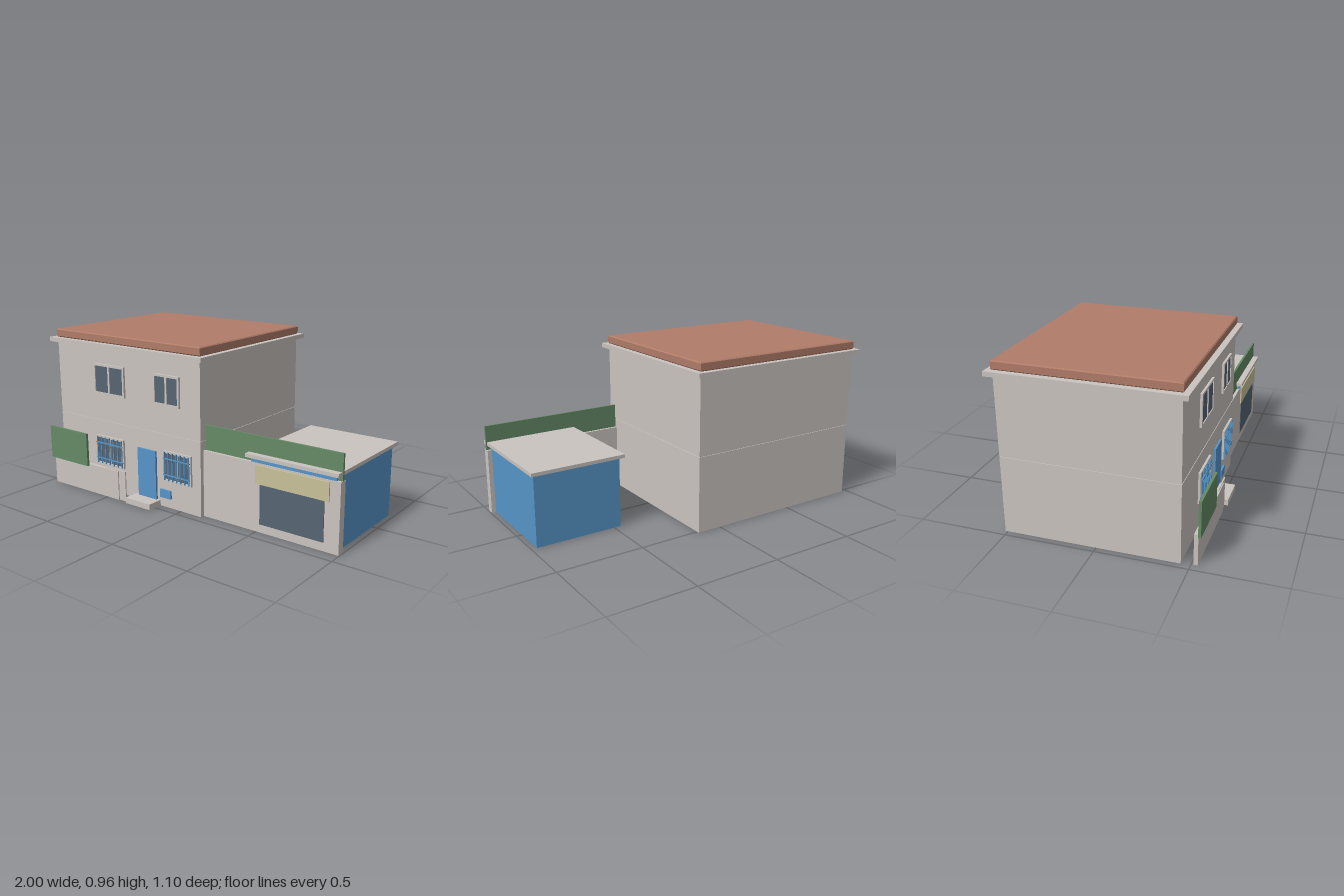
import * as THREE from 'three';

const mat = (name, color) => {
  const m = new THREE.MeshStandardMaterial({ color });
  m.name = name;
  return m;
};

export function createModel() {
  const model = new THREE.Group();
  model.name = 'house';
  const plaster = mat('plaster', 0xcac4bf);
  const terracotta = mat('terracotta', 0xb07c68);
  const blue = mat('bluePaint', 0x5595c8);
  const green = mat('greenPanel', 0x658a66);
  const glass = mat('darkGlass', 0x566573);
  const khaki = mat('awningCloth', 0xc9c199);

  // Box given by its minimum and maximum on each axis
  function box(name, material, x0, x1, y0, y1, z0, z1, parent = model) {
    const mesh = new THREE.Mesh(new THREE.BoxGeometry(x1 - x0, y1 - y0, z1 - z0), material);
    mesh.name = name;
    mesh.position.set((x0 + x1) / 2, (y0 + y1) / 2, (z0 + z1) / 2);
    parent.add(mesh);
    return mesh;
  }

  // Main block: two floors with a narrow groove between, eaves slab and roof
  box('groundFloor', plaster, -0.965, 0.145, 0, 0.438, -0.515, 0.45);
  box('floorGroove', plaster, -0.961, 0.141, 0.438, 0.444, -0.511, 0.446);
  box('upperFloor', plaster, -0.965, 0.145, 0.444, 0.884, -0.515, 0.45);
  box('eavesSlab', plaster, -1, 0.178, 0.884, 0.91, -0.55, 0.485);

  // Roof with a slightly bevelled top edge
  const b = 0.006;
  const outline = new THREE.Shape();
  outline.moveTo(-0.97 + b, -0.455 + b);
  outline.lineTo(0.15 - b, -0.455 + b);
  outline.lineTo(0.15 - b, 0.522 - b);
  outline.lineTo(-0.97 + b, 0.522 - b);
  outline.closePath();
  const roofGeo = new THREE.ExtrudeGeometry(outline, {
    depth: 0.05 - 2 * b, bevelSize: b, bevelThickness: b, bevelSegments: 1,
  });
  roofGeo.rotateX(-Math.PI / 2);
  const roof = new THREE.Mesh(roofGeo, terracotta);
  roof.name = 'roof';
  roof.position.y = 0.91 + b;
  model.add(roof);

  // Framed two-pane window, optionally with a security grille
  function makeWindow(name, x0, x1, y0, y1, grille) {
    const g = new THREE.Group();
    g.name = name;
    const t = 0.013, mid = (x0 + x1) / 2, zf = 0.463;
    const frame = new THREE.Shape();
    const rect = (p, a, c, d, e) => {
      p.moveTo(a, d); p.lineTo(c, d); p.lineTo(c, e); p.lineTo(a, e); p.closePath();
      return p;
    };
    rect(frame, x0, x1, y0, y1);
    frame.holes.push(rect(new THREE.Path(), x0 + t, mid - t / 2, y0 + t, y1 - t));
    frame.holes.push(rect(new THREE.Path(), mid + t / 2, x1 - t, y0 + t, y1 - t));
    const mesh = new THREE.Mesh(
      new THREE.ExtrudeGeometry(frame, { depth: zf - 0.45, bevelEnabled: false }), plaster);
    mesh.name = 'windowFrame';
    mesh.position.z = 0.45;
    g.add(mesh);
    box('windowPane', glass, x0 + t, x1 - t, y0 + t, y1 - t, 0.45, 0.458, g);
    if (grille) {
      const n = 7, w = 0.003;
      for (let i = 0; i < n; i++) {
        const x = THREE.MathUtils.lerp(x0 + t, x1 - t, i / (n - 1));
        box('grilleBar', blue, x - w, x + w, y0 + 0.006, y1 - 0.006, zf, 0.469, g);
      }
      for (const f of [0.22, 0.76]) {
        const y = THREE.MathUtils.lerp(y0, y1, f);
        box('grilleRail', blue, x0 + 0.004, x1 - 0.004, y - w, y + w, 0.464, 0.471, g);
      }
    }
    model.add(g);
  }
  makeWindow('upperRightWindow', -0.655, -0.41, 0.602, 0.785, false);
  makeWindow('upperLeftWindow', -0.185, 0.005, 0.605, 0.782, false);
  makeWindow('lowerRightWindow', -0.655, -0.43, 0.165, 0.345, true);
  makeWindow('lowerLeftWindow', -0.12, 0.084, 0.165, 0.345, true);

  // Entrance
  box('frontDoor', blue, -0.317, -0.178, 0.033, 0.325, 0.45, 0.462);
  box('doorStep', plaster, -0.344, -0.156, 0, 0.034, 0.45, 0.546);
  box('letterBox', blue, -0.15, -0.07, 0.058, 0.107, 0.45, 0.462);

  // Low yard wall with end plate and sign panel
  box('yardWall', plaster, -0.955, -0.41, 0, 0.176, 0.512, 0.534);
  box('yardWallEnd', plaster, -0.51, -0.358, 0, 0.183, 0.521, 0.528);
  box('yardPanel', green, -0.967, -0.65, 0.165, 0.366, 0.535, 0.55);

  // Side shop: front wall, blue room, roof slab and green parapet
  box('shopFrontWall', plaster, 0.145, 0.995, 0, 0.385, 0.379, 0.425);
  box('shopRoom', blue, 0.46, 0.97, 0.002, 0.411, -0.2, 0.422);
  box('shopRoof', plaster, 0.438, 0.99, 0.411, 0.431, -0.225, 0.444);
  box('shopParapet', green, 0.145, 0.995, 0.385, 0.527, 0.395, 0.408);
  box('shopWindow', glass, 0.522, 0.908, 0.048, 0.28, 0.425, 0.429);
  box('shopAwning', khaki, 0.495, 0.935, 0.272, 0.375, 0.425, 0.433);

  return model;
}
